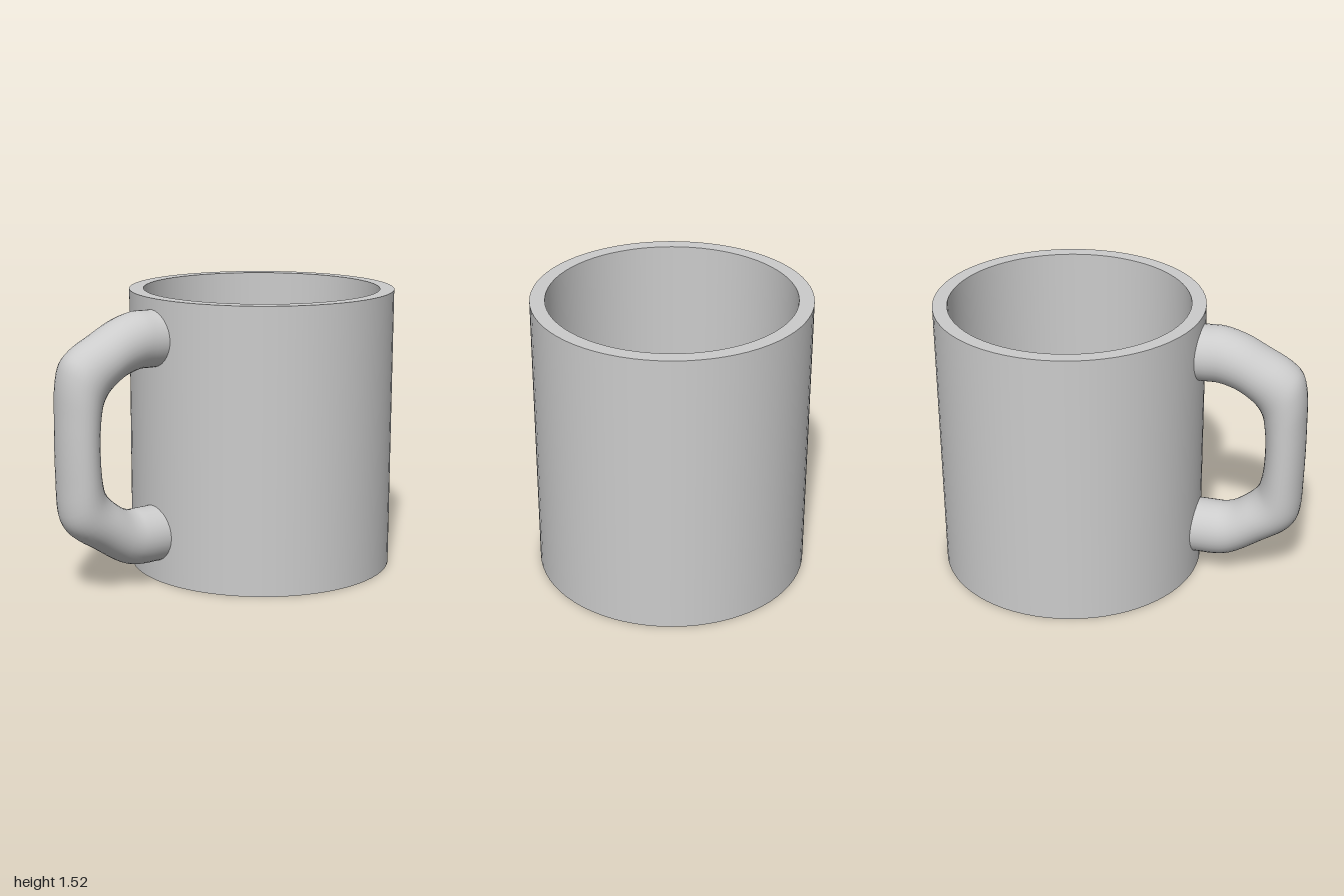
import * as THREE from 'three';

const material = new THREE.MeshStandardMaterial({ color: 0xcccccc });
const CUP_X = 0.283, RADIUS = 0.717, INNER = 0.64, HEIGHT = 1.52, FLOOR = 0.08;

// Each straight run of the profile is its own lathe, so the rim and base stay crisp.
function createCup() {
  const cup = new THREE.Group();
  cup.name = 'cup';
  const profile = [[0, 0], [RADIUS, 0], [RADIUS, HEIGHT], [INNER, HEIGHT], [INNER, FLOOR], [0, FLOOR]]
    .map(([r, y]) => new THREE.Vector2(r, y));
  ['base', 'outerWall', 'rim', 'innerWall', 'innerFloor'].forEach((name, i) => {
    const mesh = new THREE.Mesh(new THREE.LatheGeometry([profile[i], profile[i + 1]], 72), material);
    mesh.name = name;
    cup.add(mesh);
  });
  cup.position.x = CUP_X;
  return cup;
}

// Handle: oval sections spanning an outer and an inner side curve.
function createHandle() {
  const sections = [ // outer x, y, inner x, y
    [-0.38, 1.46, -0.38, 1.16], [-0.46, 1.46, -0.46, 1.16], [-0.54, 1.46, -0.53, 1.16],
    [-0.66, 1.426, -0.62, 1.135], [-0.78, 1.365, -0.68, 1.10], [-0.90, 1.30, -0.735, 1.05],
    [-0.962, 1.24, -0.765, 0.995], [-0.99, 1.14, -0.778, 0.93], [-0.998, 0.95, -0.786, 0.86],
    [-1.0, 0.79, -0.788, 0.78], [-0.998, 0.62, -0.785, 0.69], [-0.99, 0.44, -0.775, 0.61],
    [-0.967, 0.37, -0.76, 0.555], [-0.92, 0.315, -0.73, 0.51], [-0.80, 0.235, -0.68, 0.465],
    [-0.67, 0.15, -0.62, 0.425], [-0.60, 0.12, -0.57, 0.41], [-0.53, 0.11, -0.53, 0.41],
    [-0.46, 0.11, -0.46, 0.41], [-0.38, 0.11, -0.38, 0.41],
  ];
  const side = (k) => new THREE.CatmullRomCurve3(
    sections.map((s) => new THREE.Vector3(s[k], s[k + 1], 0)), false, 'centripetal');
  const outer = side(0), inner = side(2);
  const rings = 76, around = 32, halfWidth = 0.147;
  const positions = [], index = [];
  for (let i = 0; i <= rings; i++) {
    const a = outer.getPoint(i / rings), b = inner.getPoint(i / rings);
    const centre = a.clone().add(b).multiplyScalar(0.5);
    const reach = a.sub(b).multiplyScalar(0.5);
    for (let j = 0; j < around; j++) {
      const angle = (j / around) * Math.PI * 2, c = Math.cos(angle);
      positions.push(centre.x + reach.x * c, centre.y + reach.y * c, halfWidth * Math.sin(angle));
      if (i === rings) continue;
      const p = i * around + j, q = i * around + (j + 1) % around;
      index.push(p, p + around, q, q, p + around, q + around);
    }
  }
  const geometry = new THREE.BufferGeometry();
  geometry.setAttribute('position', new THREE.Float32BufferAttribute(positions, 3));
  geometry.setIndex(index);
  geometry.computeVertexNormals();
  const handle = new THREE.Mesh(geometry, material);
  handle.name = 'handle';
  return handle;
}

export function createModel() {
  const mug = new THREE.Group();
  mug.name = 'mug';
  mug.add(createCup(), createHandle());
  return mug;
}
